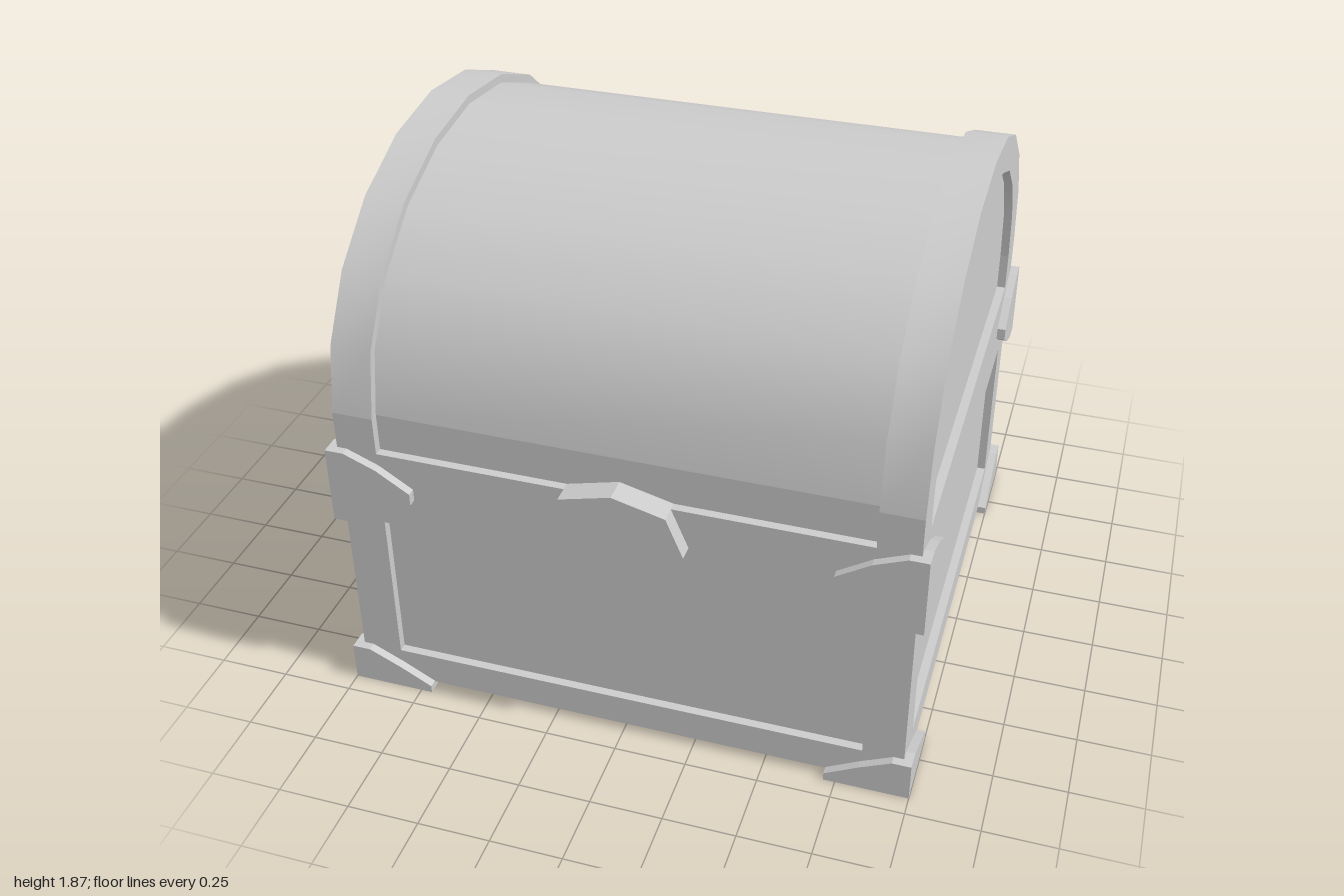
import * as THREE from 'three';
import { toCreasedNormals } from 'three/addons/utils/BufferGeometryUtils.js';

export function createModel() {
  const model = new THREE.Group();
  const chest = new THREE.Group();
  chest.name = 'chest';
  chest.position.z = -0.013;
  model.add(chest);
  const material = new THREE.MeshStandardMaterial({ color: 0xcccccc });

  const HX = 0.97, HZ = 0.914;     // half size of the frame
  const IX = 0.83, IZ = 0.766;     // half size of the panel openings
  const STEP = 0.03;               // panel recess and bracket thickness
  const SPRING = 1.125;            // height at which the lid starts to curve
  const BASE = 0.025;

  function add(name, geometry) {
    const mesh = new THREE.Mesh(geometry, material);
    mesh.name = name;
    chest.add(mesh);
    return mesh;
  }

  // Box given by its limits on each axis
  function box(name, x0, x1, y0, y1, z0, z1) {
    const g = new THREE.BoxGeometry(x1 - x0, y1 - y0, z1 - z0);
    g.translate((x0 + x1) / 2, (y0 + y1) / 2, (z0 + z1) / 2);
    return add(name, g);
  }

  // Half ellipse of ten straight segments
  function arc(rz, ry) {
    return Array.from({ length: 11 }, (_, i) => {
      const a = i * Math.PI / 10;
      return new THREE.Vector2(rz * Math.cos(a), SPRING + ry * Math.sin(a));
    });
  }

  // Profile drawn in the z-y plane, extruded along x
  function alongX(points, x0, x1) {
    const g = new THREE.ExtrudeGeometry(new THREE.Shape(points), { depth: x1 - x0, bevelEnabled: false });
    g.translate(0, 0, x0);
    g.rotateY(Math.PI / 2);
    return toCreasedNormals(g, 0.6);
  }

  // Recessed body and lid barrel
  const cx = HX - STEP, cz = HZ - STEP;
  box('bodyPanels', -cx, cx, BASE + STEP, SPRING, -cz, cz);
  add('lidBarrel', alongX(arc(cz, 0.712), -cx, cx));

  for (const s of [-1, 1]) {
    const xa = s < 0 ? -HX : IX, xb = s < 0 ? -IX : HX;
    const za = s < 0 ? -HZ : IZ, zb = s < 0 ? -IZ : HZ;

    // Arched band at each end of the lid
    add('lidBand', alongX([...arc(HZ, 0.742), ...arc(IZ, 0.624).reverse()], xa, xb));

    // Rails round the body
    for (const [name, y0, y1] of [['bottomRail', BASE, 0.14], ['middleRail', 0.71, 0.99]]) {
      box(name, xa, xb, y0, y1, -IZ, IZ);
      box(name, -IX, IX, y0, y1, za, zb);
    }

    // Corner posts
    for (const t of [-1, 1]) {
      box('cornerPost', xa, xb, BASE, SPRING, t < 0 ? -HZ : IZ, t < 0 ? -IZ : HZ);
    }
  }

  // Bracket outlines: distance from the corner, height
  const BX = HX + STEP, BZ = HZ + STEP;
  const middleLeaf = (u) => [[u, 0.71], [0.065, 0.71], [0.175, 0.755], [0.29, 0.828],
    [0.29, 0.872], [0.175, 0.945], [0.065, 0.99], [u, 0.99]];
  const bottomLeaf = (u) => [[u, 0], [0.29, 0], [0.29, 0.028], [0.175, 0.09], [0.065, 0.142], [u, 0.142]];

  // One bracket half on a face at distance `face`; `edge` is half the face width
  function leaf(outline, edge, face, side, turn) {
    const shape = new THREE.Shape(outline.map(([u, v]) => new THREE.Vector2(side * (edge - u), v)));
    const g = new THREE.ExtrudeGeometry(shape, { depth: STEP + 0.01, bevelEnabled: false });
    g.translate(0, 0, face - STEP - 0.01);
    g.rotateY(turn);
    return g;
  }

  for (const side of [-1, 1]) {
    for (const [name, outline] of [['middleBracket', middleLeaf], ['bottomBracket', bottomLeaf]]) {
      for (const turn of [0, Math.PI]) {
        add(name, leaf(outline(0), BX, BZ, side, turn));
        add(name, leaf(outline(STEP), BZ, BX, side, turn + Math.PI / 2));
      }
    }
    // Foot plates under the corners
    for (const t of [-1, 1]) {
      const plate = box('footPlate', -0.13, 0.13, 0, 0.028, -0.13, 0.13);
      plate.position.set(side * (BX - 0.16), 0, t * (BZ - 0.16));
    }
  }

  // Octagonal lock plate
  const lockShape = new THREE.Shape([[0.235, 0], [0.178, 0.14], [0, 0.186], [-0.178, 0.14],
    [-0.235, 0], [-0.178, -0.14], [0, -0.186], [0.178, -0.14]].map(([x, y]) => new THREE.Vector2(x, y + 0.85)));
  const lock = new THREE.ExtrudeGeometry(lockShape, { depth: 0.09, bevelEnabled: false });
  lock.translate(0, 0, 0.88);
  add('lockPlate', lock);

  return model;
}
